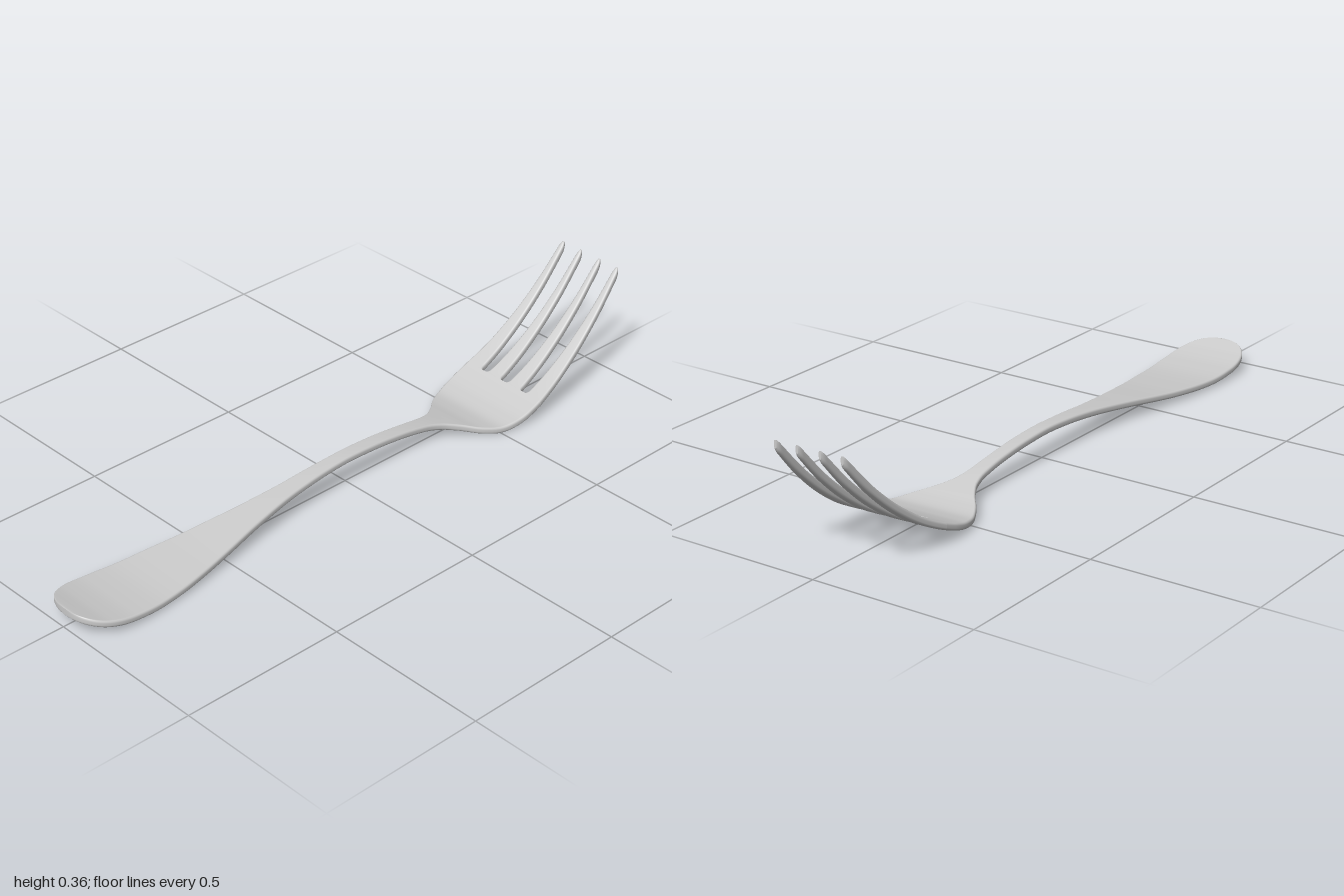
import * as THREE from 'three';

// Smooth monotone interpolation through [z, value] pairs sorted by z
function curve(pts) {
  const n = pts.length;
  const d = [];
  for (let i = 0; i < n - 1; i++) d.push((pts[i + 1][1] - pts[i][1]) / (pts[i + 1][0] - pts[i][0]));
  const m = pts.map((_, i) => {
    if (i === 0) return d[0];
    if (i === n - 1) return d[n - 2];
    return d[i - 1] * d[i] <= 0 ? 0 : (2 * d[i - 1] * d[i]) / (d[i - 1] + d[i]);
  });
  return (z) => {
    let i = 0;
    while (i < n - 2 && z > pts[i + 1][0]) i++;
    const h = pts[i + 1][0] - pts[i][0];
    const t = Math.min(1, Math.max(0, (z - pts[i][0]) / h));
    const t2 = t * t, t3 = t2 * t;
    return (2 * t3 - 3 * t2 + 1) * pts[i][1] + (t3 - 2 * t2 + t) * h * m[i]
      + (3 * t2 - 2 * t3) * pts[i + 1][1] + (t3 - t2) * h * m[i + 1];
  };
}

// Side profile of the whole fork (centre height along z)
const height = curve([
  [-1, 0.343], [-0.9, 0.232], [-0.8, 0.145], [-0.7, 0.08], [-0.6, 0.036], [-0.55, 0.021],
  [-0.5, 0.014], [-0.45, 0.02], [-0.4, 0.032], [-0.3, 0.055], [-0.2, 0.071], [-0.1, 0.081], [0, 0.085],
  [0.1, 0.081], [0.25, 0.067], [0.4, 0.049], [0.6, 0.026], [0.75, 0.018], [0.85, 0.024], [0.93, 0.037], [1, 0.056],
]);

// Half width of handle, neck and bowl
const halfWidth = curve([
  [-0.7, 0.148], [-0.6, 0.15], [-0.55, 0.145], [-0.5, 0.131], [-0.45, 0.104], [-0.4, 0.064],
  [-0.35, 0.036], [-0.3, 0.026], [-0.2, 0.023], [0, 0.023], [0.2, 0.03], [0.35, 0.047],
  [0.5, 0.073], [0.7, 0.105], [0.83, 0.115], [1, 0.115],
]);

const centreX = curve([[-1, 0], [-0.5, 0], [0, 0.002], [0.9, 0.01], [1, 0.01]]);
const THICK = 0.0105, ROUND = 0.007, ROOT = -0.64;

// Rounded strip following the profile; edges(z) gives [left x, right x]
function strip(name, zs, edges, material) {
  const pos = [], idx = [];
  const corner = 4, ring = corner * 4;
  zs.forEach((z) => {
    const [a, b] = edges(z);
    const c = (a + b) / 2, w = Math.max((b - a) / 2, 0.0005);
    const slope = (height(z + 0.005) - height(z - 0.005)) / 0.01;
    const stretch = Math.sqrt(1 + slope * slope);
    const r = Math.min(ROUND, w);
    for (let q = 0; q < 4; q++) {
      const sx = q === 0 || q === 3 ? 1 : -1, sy = q < 2 ? 1 : -1;
      for (let k = 0; k < corner; k++) {
        const ang = (q + k / (corner - 1)) * Math.PI / 2;
        const x = c + sx * (w - r) + r * Math.cos(ang);
        const v = sy * (THICK - ROUND) + ROUND * Math.sin(ang);
        pos.push(x, height(z) + v * stretch - 0.02 * x, z);
      }
    }
  });
  for (let s = 0; s < zs.length - 1; s++) {
    for (let k = 0; k < ring; k++) {
      const a = s * ring + k, b = s * ring + (k + 1) % ring;
      idx.push(a, a + ring, b, b, a + ring, b + ring);
    }
  }
  // End caps with their own vertices
  for (const [s, front] of [[0, true], [zs.length - 1, false]]) {
    const base = pos.length / 3;
    pos.push(...pos.slice(s * ring * 3, (s + 1) * ring * 3));
    for (let k = 1; k < ring - 1; k++) {
      idx.push(base, base + (front ? k : k + 1), base + (front ? k + 1 : k));
    }
  }
  const geo = new THREE.BufferGeometry();
  geo.setAttribute('position', new THREE.Float32BufferAttribute(pos, 3));
  geo.setIndex(idx);
  geo.computeVertexNormals();
  const mesh = new THREE.Mesh(geo, material);
  mesh.name = name;
  return mesh;
}

// Samples from z0 to z1, denser at both ends
const samples = (z0, z1, n) => Array.from({ length: n + 1 },
  (_, i) => z0 + (z1 - z0) * (1 - Math.cos(Math.PI * i / n)) / 2);

export function createModel() {
  const group = new THREE.Group();
  group.name = 'fork';
  const metal = new THREE.MeshStandardMaterial({ color: 0xcccccc });

  // Handle, neck and bowl, with a rounded handle end
  group.add(strip('handleAndBowl', samples(1, ROOT, 140), (z) => {
    const t = Math.max(0, (z - 0.85) / 0.15);
    const w = halfWidth(z) * Math.pow(Math.max(0, 1 - Math.pow(t, 2.5)), 0.4);
    return [centreX(z) - w, centreX(z) + w];
  }, metal));

  // Tines: edges at the root and tip, the slots opening with a round bottom
  const slot = 0.079;
  const tines = [
    { name: 'InnerTine', root: [0, slot], gap: [0.015, -0.013], tip: [0.029, 0.045] },
    { name: 'OuterTine', root: [slot, 0.15], gap: [0.013, 0], tip: [0.098, 0.115] },
  ];
  for (const side of [1, -1]) {
    for (const { name, root, gap, tip } of tines) {
      group.add(strip((side > 0 ? 'left' : 'right') + name, samples(ROOT, -1, 48), (z) => {
        const t = (ROOT - z) / (ROOT + 1);
        const open = Math.sqrt(1 - Math.pow(1 - Math.min(1, (ROOT - z) / 0.016), 2));
        const e = [0, 1].map((i) => {
          const start = root[i] + gap[i] * open;
          return start + (tip[i] - root[i] - gap[i]) * t;
        });
        // Round off the tip
        const u = Math.max(0, (-0.985 - z) / 0.015);
        const c = (e[0] + e[1]) / 2, w = (e[1] - e[0]) / 2 * Math.sqrt(1 - 0.75 * u * u);
        return side > 0 ? [c - w, c + w] : [-c - w, -c + w];
      }, metal));
    }
  }
  return group;
}
